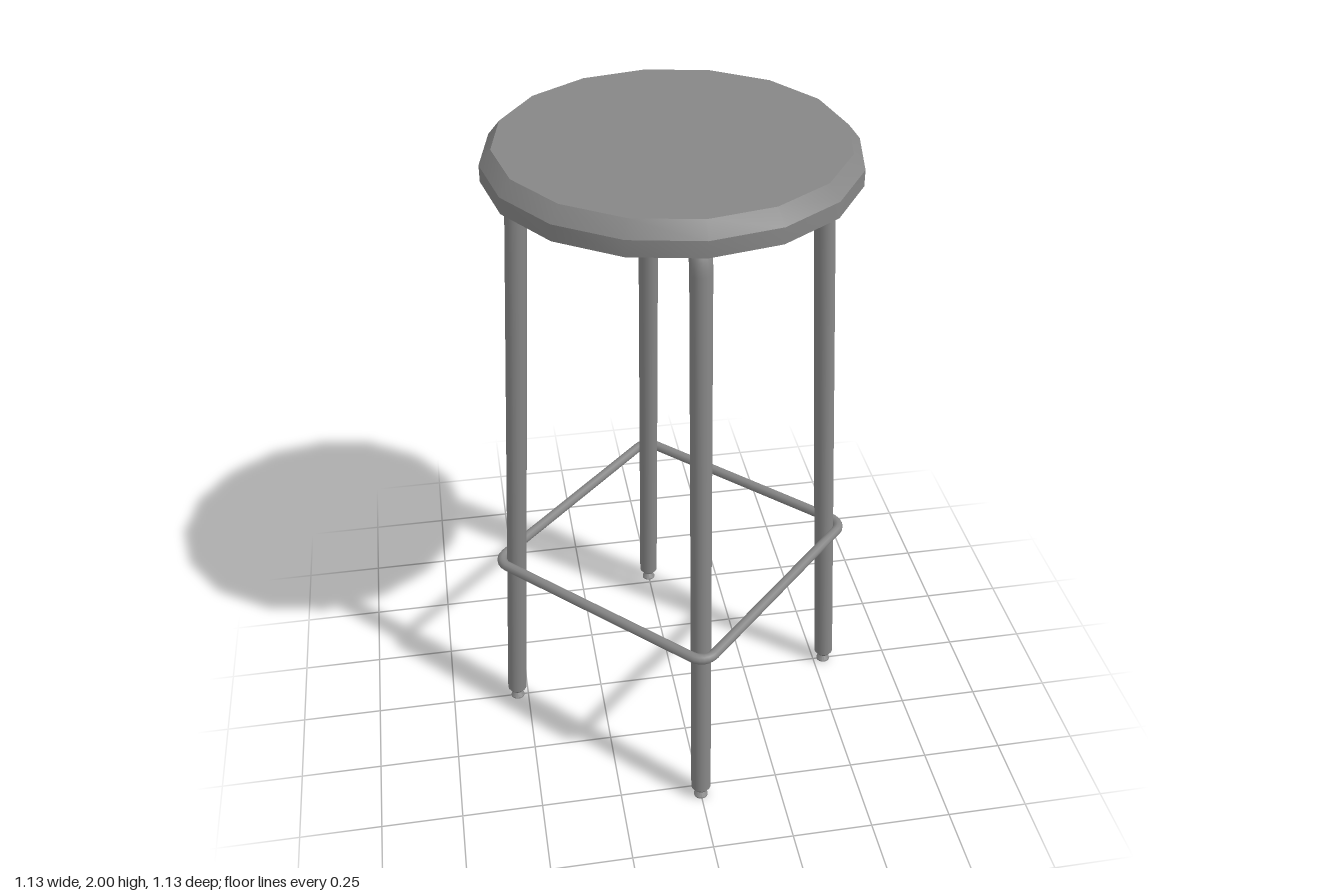
import * as THREE from 'three';
import { toCreasedNormals } from 'three/addons/utils/BufferGeometryUtils.js';

const material = new THREE.MeshStandardMaterial({ color: 0x868686 });
const LEG_R = 0.031, ROD_R = 0.016, RING_Y = 0.598;
const FOOT = new THREE.Vector3(0.535, 0.04, 0);
const KNEE = new THREE.Vector3(0.428, 1.888, 0);
const HUB = new THREE.Vector3(0, 1.885, 0);

// Curve that steps exactly through its points, with averaged directions
class PointPath extends THREE.Curve {
  constructor(points, closed = false) {
    super();
    this.points = points;
    this.closed = closed;
    this.steps = closed ? points.length : points.length - 1;
  }
  at(i) {
    const n = this.points.length;
    return this.points[this.closed ? (i + n) % n : THREE.MathUtils.clamp(i, 0, n - 1)];
  }
  getPointAt(u, target = new THREE.Vector3()) {
    return target.copy(this.at(Math.round(u * this.steps)));
  }
  getTangentAt(u, target = new THREE.Vector3()) {
    const i = Math.round(u * this.steps), p = this.at(i);
    const before = p.clone().sub(this.at(i - 1)).normalize();
    const after = this.at(i + 1).clone().sub(p).normalize();
    return target.copy(before.add(after)).normalize();
  }
}

function addMesh(parent, name, geometry) {
  const mesh = new THREE.Mesh(geometry, material);
  mesh.name = name;
  parent.add(mesh);
  return mesh;
}

function sweep(points, radius, sides, closed = false) {
  const path = new PointPath(points, closed);
  return new THREE.TubeGeometry(path, path.steps, radius, sides, closed);
}

function lathe(profile, sides) {
  const points = profile.map(([r, y]) => new THREE.Vector2(r, y));
  return toCreasedNormals(new THREE.LatheGeometry(points, sides), 0.5);
}

// Leg tube: straight shaft, rounded knee, then inwards under the seat
function legGeometry() {
  const bend = 0.068;
  const start = KNEE.clone().lerp(FOOT, bend / KNEE.distanceTo(FOOT));
  const end = KNEE.clone().lerp(HUB, bend / KNEE.distanceTo(HUB));
  const knee = new THREE.QuadraticBezierCurve3(start, KNEE, end);
  return sweep([FOOT, ...knee.getPoints(8), HUB], LEG_R, 16);
}

// Foot-rest rod: a square whose corners wrap round the outside of the legs
function footRestGeometry() {
  const t = (RING_Y - FOOT.y) / (KNEE.y - FOOT.y);
  const legX = THREE.MathUtils.lerp(FOOT.x, KNEE.x, t);
  const wrap = LEG_R + ROD_R - 0.001, points = [];
  for (let k = 0; k < 4; k++) {
    const a = k * Math.PI / 2;
    for (let i = 0; i <= 6; i++) {
      const b = a + (i / 6 - 0.5) * Math.PI / 2;
      points.push(new THREE.Vector3(
        legX * Math.cos(a) + wrap * Math.cos(b), RING_Y,
        legX * Math.sin(a) + wrap * Math.sin(b)));
    }
  }
  return sweep(points, ROD_R, 10, true);
}

export function createModel() {
  const stool = new THREE.Group();
  stool.name = 'stool';

  // Sixteen-sided seat with a bevelled upper edge
  addMesh(stool, 'seat', lathe(
    [[0, 1.911], [0.522, 1.911], [0.522, 1.958], [0.488, 2], [0, 2]], 16));

  const tube = legGeometry();
  const plug = lathe([[0, -0.012], [0.022, -0.012], [LEG_R, 0], [0, 0.002]], 16);
  const glide = lathe([[0, 0], [0.022, 0], [0.022, 0.004], [0.009, 0.02], [0.009, 0.04]], 16);
  const lean = Math.atan2(FOOT.x - KNEE.x, KNEE.y - FOOT.y);

  for (let k = 0; k < 4; k++) {
    const leg = new THREE.Group();
    leg.name = ['leftLeg', 'backLeg', 'rightLeg', 'frontLeg'][k];
    leg.rotation.y = k * Math.PI / 2;
    addMesh(leg, 'legTube', tube);
    // End plug and levelling glide
    const end = addMesh(leg, 'endPlug', plug);
    end.position.copy(FOOT);
    end.rotation.z = lean;
    addMesh(leg, 'footGlide', glide).position.x = FOOT.x;
    stool.add(leg);
  }

  addMesh(stool, 'footRest', footRestGeometry());
  return stool;
}
